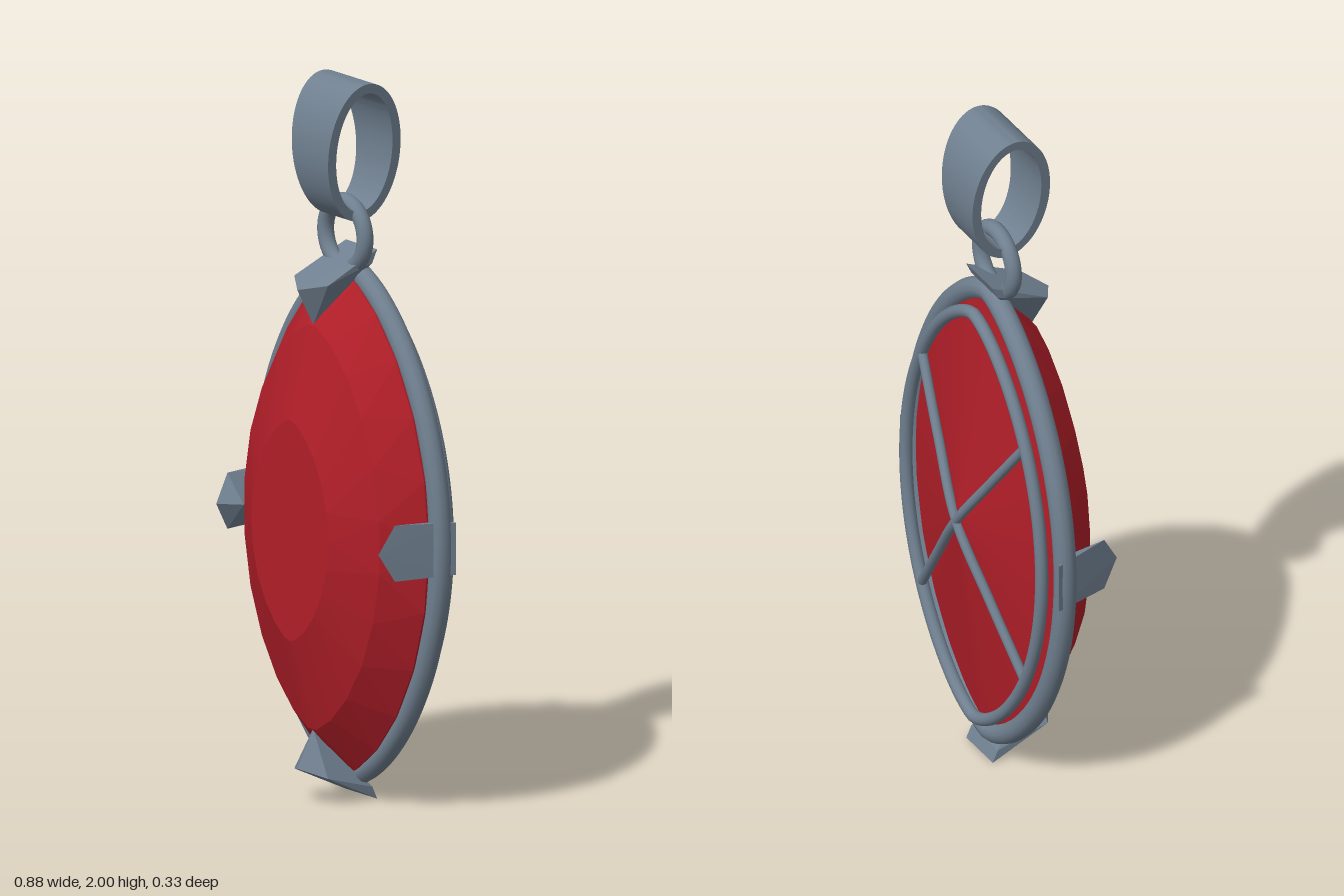
import * as THREE from 'three';
import { toCreasedNormals } from 'three/addons/utils/BufferGeometryUtils.js';
import { ConvexGeometry } from 'three/addons/geometries/ConvexGeometry.js';

const CY = 0.765; // height of the stone's centre
const metal = new THREE.MeshStandardMaterial({ color: 0x708090 });
const metalFlat = new THREE.MeshStandardMaterial({ color: 0x708090, flatShading: true });
const red = new THREE.MeshStandardMaterial({ color: 0xb01e28, flatShading: true });

// Point on a marquise outline of half-width a and half-height b
function marquise(a, b, t, z) {
  const c = Math.cos(t);
  return new THREE.Vector3(a * Math.sign(c) * Math.abs(c) ** 1.35, b * Math.sin(t), z);
}

function add(parent, name, geometry, material) {
  const mesh = new THREE.Mesh(geometry, material);
  mesh.name = name;
  parent.add(mesh);
  return mesh;
}

// Closed wire following the marquise outline
function marquiseWire(a, b, z, radius) {
  const pts = Array.from({ length: 48 }, (_, i) => marquise(a, b, (i / 48) * Math.PI * 2, z));
  const path = new THREE.CatmullRomCurve3(pts, true);
  return new THREE.TubeGeometry(path, 128, radius, 12, true);
}

// Faceted stone: staggered rings from the flat table to the back point
function gemGeometry() {
  const n = 24;
  const rings = [
    [0, 0, 0.163], [0.178, 0.308, 0.163], [0.315, 0.565, 0.09],
    [0.4, 0.7, -0.01], [0.392, 0.69, -0.055], [0, 0, -0.147],
  ];
  const at = (k, i) => {
    const [a, b, z] = rings[k];
    return marquise(a, b, ((i + (k - 1) / 2) / n) * Math.PI * 2, z);
  };
  const verts = [];
  const tri = (...p) => {
    if (new THREE.Triangle(...p).getArea() > 1e-7) p.forEach((v) => verts.push(v.x, v.y, v.z));
  };
  for (let k = 0; k < rings.length - 1; k++) {
    for (let i = 0; i < n; i++) {
      tri(at(k, i), at(k + 1, i), at(k, i + 1));
      tri(at(k, i + 1), at(k + 1, i), at(k + 1, i + 1));
    }
  }
  const g = new THREE.BufferGeometry();
  g.setAttribute('position', new THREE.Float32BufferAttribute(verts, 3));
  g.computeVertexNormals();
  return g;
}

// Claw pointing along +y: base edge, shoulders, front point and inner tip
function prongGeometry(base, front, tip) {
  const w = 0.078;
  const shoulder = base + (front - base) * 0.8;
  const pts = [new THREE.Vector3(0, front, 0.138), new THREE.Vector3(0, tip, 0.085)];
  for (const s of [-w, w]) {
    pts.push(
      new THREE.Vector3(s * 0.93, base, -0.076),
      new THREE.Vector3(s * 0.93, base - 0.035, -0.06),
      new THREE.Vector3(s, shoulder, 0.092),
    );
  }
  return new ConvexGeometry(pts);
}

// Elliptical band, wider at the top than at the bottom
function bailGeometry() {
  const shape = new THREE.Shape().absellipse(0, 0, 0.12, 0.195, 0, Math.PI * 2);
  shape.holes.push(new THREE.Path().absellipse(0, 0, 0.093, 0.168, 0, Math.PI * 2, true));
  const g = new THREE.ExtrudeGeometry(shape, { depth: 2, bevelEnabled: false, curveSegments: 48 });
  g.translate(0, 0, -1);
  g.rotateY(Math.PI / 2);
  const p = g.attributes.position;
  for (let i = 0; i < p.count; i++) {
    p.setX(i, p.getX(i) * (0.084 + 0.021 * (p.getY(i) / 0.195)));
  }
  return toCreasedNormals(g, 0.6);
}

export function createModel() {
  const model = new THREE.Group();
  model.name = 'pendant';

  // Stone and its setting share one centre
  const setting = new THREE.Group();
  setting.name = 'setting';
  setting.position.y = CY;
  model.add(setting);
  add(setting, 'gemstone', gemGeometry(), red);
  add(setting, 'rim', marquiseWire(0.41, 0.705, -0.043, 0.031), metal);
  add(setting, 'backRing', marquiseWire(0.372, 0.647, -0.094, 0.018), metal);

  // Crossed wires bowed over the back of the stone
  for (const s of [-1, 1]) {
    const path = new THREE.CatmullRomCurve3([
      new THREE.Vector3(-0.28 * s, -0.37, -0.096),
      new THREE.Vector3(-0.14 * s, -0.185, -0.125),
      new THREE.Vector3(0, 0, -0.149),
      new THREE.Vector3(0.14 * s, 0.185, -0.125),
      new THREE.Vector3(0.28 * s, 0.37, -0.096),
    ]);
    add(setting, 'backWire', new THREE.TubeGeometry(path, 40, 0.014, 10), metal);
  }

  // Four claws: top, left, bottom, right
  for (let i = 0; i < 4; i++) {
    const geometry = i % 2 ? prongGeometry(0.436, 0.375, 0.322) : prongGeometry(0.763, 0.665, 0.56);
    add(setting, 'prong', geometry, metalFlat).rotation.z = (i * Math.PI) / 2;
  }

  // Hanging loop and bail
  const loop = add(model, 'jumpRing', new THREE.TorusGeometry(0.091, 0.023, 14, 48), metal);
  loop.position.set(0, 1.565, -0.022);
  const bail = add(model, 'bail', bailGeometry(), metal);
  bail.position.set(0, 1.805, -0.025);

  return model;
}
